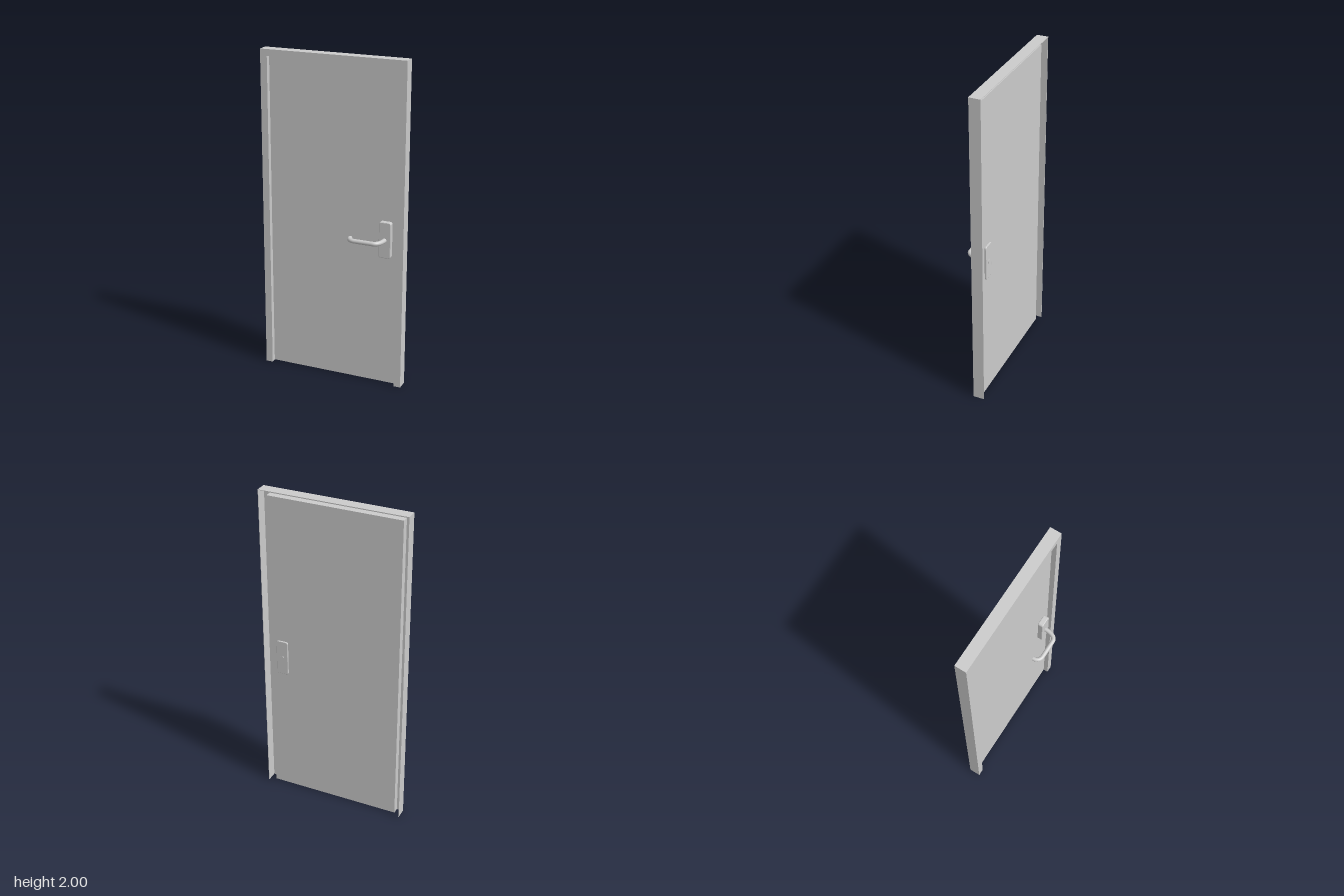
import * as THREE from 'three';

const material = new THREE.MeshStandardMaterial({ color: 0xcccccc });

const W = 0.453, H = 2;            // frame half width and height
const OW = 0.41, OH = 1.96;        // opening half width and height
const FRONT = -0.015, BACK = -0.085;
const LEAF_FRONT = -0.045, LEAF_BACK = -0.06;
const T = 0.003;                   // sheet thickness

function add(parent, name, geometry, x = 0, y = 0, z = 0) {
  const mesh = new THREE.Mesh(geometry, material);
  mesh.name = name;
  mesh.position.set(x, y, z);
  parent.add(mesh);
  return mesh;
}

// Upside-down U outline, open at the floor
function archShape(w, h, iw, ih) {
  return new THREE.Shape([
    [-w, 0], [-w, h], [w, h], [w, 0], [iw, 0], [iw, ih], [-iw, ih], [-iw, 0],
  ].map(([x, y]) => new THREE.Vector2(x, y)));
}

function arch(parent, name, w, h, iw, ih, z0, z1) {
  const geo = new THREE.ExtrudeGeometry(archShape(w, h, iw, ih), { depth: z1 - z0, bevelEnabled: false });
  add(parent, name, geo, 0, 0, z0);
}

// Rounded plate centred on the origin, from z = 0 to depth, with a softened front edge
function plateGeometry(w, h, r, depth, bevel) {
  const x = w / 2 - bevel, y = h / 2 - bevel;
  const s = new THREE.Shape();
  s.moveTo(-x + r, -y);
  s.lineTo(x - r, -y);
  s.absarc(x - r, -y + r, r, -Math.PI / 2, 0);
  s.absarc(x - r, y - r, r, 0, Math.PI / 2);
  s.absarc(-x + r, y - r, r, Math.PI / 2, Math.PI);
  s.absarc(-x + r, -y + r, r, Math.PI, Math.PI * 1.5);
  const geo = new THREE.ExtrudeGeometry(s, {
    depth: depth - 2 * bevel, bevelThickness: bevel, bevelSize: bevel, bevelSegments: 2, curveSegments: 6,
  });
  geo.translate(0, 0, bevel);
  return geo;
}

export function createModel() {
  const model = new THREE.Group();
  model.name = 'door';

  // Folded sheet frame, open at the back
  const frame = new THREE.Group();
  frame.name = 'frame';
  model.add(frame);
  arch(frame, 'frameFace', W, H, OW, OH, FRONT - T, FRONT);
  arch(frame, 'frameOuterReturn', W, H, W - T, H - T, BACK, FRONT - T);
  arch(frame, 'frameReveal', OW + T, OH + T, OW, OH, LEAF_BACK, FRONT - T);

  // Door leaf, set back in the frame
  const leafDepth = LEAF_FRONT - LEAF_BACK;
  add(model, 'doorLeaf', new THREE.BoxGeometry(2 * OW, OH - 0.003, leafDepth),
    0, (OH + 0.003) / 2, (LEAF_FRONT + LEAF_BACK) / 2);

  // Lock plates on both faces
  const px = 0.337, py = 0.935;
  add(model, 'frontPlate', plateGeometry(0.075, 0.222, 0.01, 0.033, 0.004), px, py, LEAF_FRONT);
  const back = add(model, 'backPlate', plateGeometry(0.075, 0.222, 0.01, 0.012, 0.003), px, py, LEAF_BACK);
  back.rotation.y = Math.PI;
  const spindle = add(model, 'backSpindle', new THREE.CylinderGeometry(0.0135, 0.0135, 0.006, 24), px, py, LEAF_BACK - 0.012);
  spindle.rotation.x = Math.PI / 2;

  // Bent lever handle
  const v = (x, z) => new THREE.Vector3(x, py, z);
  const path = new THREE.CurvePath();
  path.add(new THREE.LineCurve3(v(0.337, -0.025), v(0.336, -0.005)));
  path.add(new THREE.CubicBezierCurve3(v(0.336, -0.005), v(0.332, 0.04), v(0.318, 0.067), v(0.29, 0.067)));
  path.add(new THREE.LineCurve3(v(0.29, 0.067), v(0.178, 0.067)));
  path.add(new THREE.CubicBezierCurve3(v(0.178, 0.067), v(0.152, 0.067), v(0.137, 0.052), v(0.136, 0.025)));
  const handle = new THREE.Group();
  handle.name = 'handle';
  model.add(handle);
  const radius = 0.0135;
  add(handle, 'lever', new THREE.TubeGeometry(path, 64, radius, 20, false));
  const cap = add(handle, 'leverEnd', new THREE.CircleGeometry(radius, 20), 0.136, py, 0.025);
  cap.rotation.y = Math.PI;

  return model;
}
